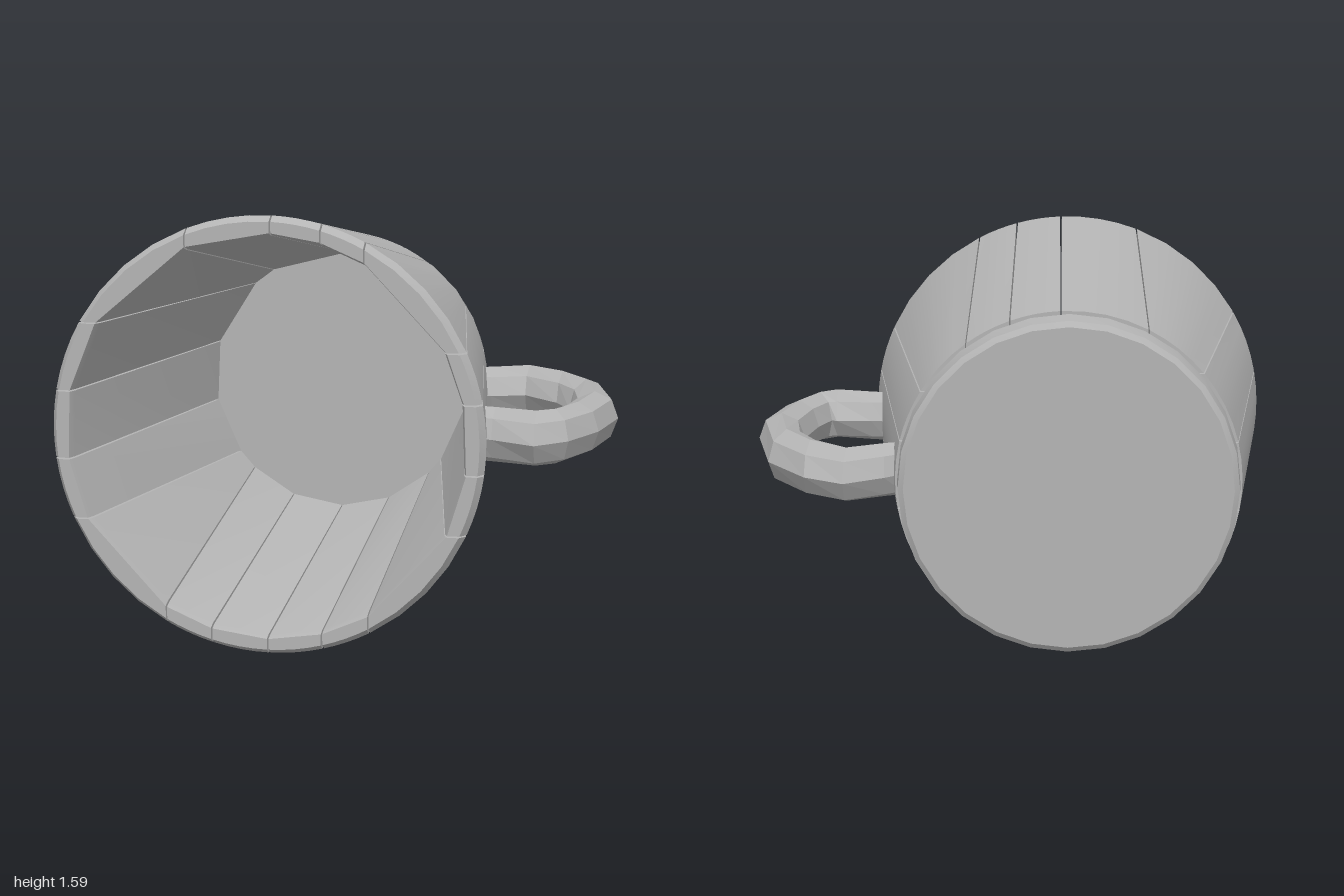
import * as THREE from 'three';
import { toCreasedNormals } from 'three/addons/utils/BufferGeometryUtils.js';

// Skin a row of rings (arrays of Vector3, counter-clockwise about the travel direction), with end caps
function loft(rings, crease) {
  const n = rings[0].length, index = [];
  for (let i = 0; i < rings.length - 1; i++) {
    for (let j = 0; j < n; j++) {
      const a = i * n + j, b = i * n + (j + 1) % n;
      index.push(a, b, b + n, a, b + n, a + n);
    }
  }
  const end = (rings.length - 1) * n;
  for (let j = 1; j < n - 1; j++) {
    index.push(0, j + 1, j);
    index.push(end, end + j, end + j + 1);
  }
  const geo = new THREE.BufferGeometry().setFromPoints(rings.flat());
  geo.setIndex(index);
  return toCreasedNormals(geo, crease);
}

// Joints between staves: side of the mug (right, top, left, bottom) and offset from the axis.
// Each joint is a plane of constant x or y.
const JOINTS = [
  ['R', -0.32], ['R', -0.10], ['R', 0.15], ['R', 0.33],
  ['T', 0.365], ['T', 0.21], ['T', 0.03], ['T', -0.28],
  ['L', 0.40], ['L', 0.15], ['L', -0.10], ['L', -0.32],
  ['B', -0.37], ['B', -0.20], ['B', 0.01], ['B', 0.21], ['B', 0.38],
];

function jointAngle([side, offset], r) {
  const t = offset / r;
  if (side === 'R') return Math.asin(t);
  if (side === 'T') return Math.acos(t);
  if (side === 'L') return Math.PI - Math.asin(t);
  return 2 * Math.PI - Math.acos(t);
}

// Cross-section of one stave: curved outside, flat inside
function staveRing(from, to, wrap, z, outer, inner) {
  const gap = 0.004, steps = 4, ring = [];
  const at = (r, a) => ring.push(new THREE.Vector3(r * Math.cos(a), r * Math.sin(a), z));
  const a0 = jointAngle(from, outer) + gap, a1 = jointAngle(to, outer) + wrap - gap;
  for (let k = 0; k <= steps; k++) at(outer, a0 + (a1 - a0) * k / steps);
  at(inner, jointAngle(to, inner) + wrap - gap);
  at(inner, jointAngle(from, inner) + gap);
  return ring;
}

export function createModel() {
  const model = new THREE.Group();
  model.name = 'mug';
  const grey = new THREE.MeshStandardMaterial({ color: 0xb4b4b4 });
  grey.name = 'grey';

  const body = new THREE.Group();
  body.name = 'body';
  body.position.set(-0.205, 0.797, 0);
  model.add(body);

  // Wall of tapered staves, bevelled at the rim
  JOINTS.forEach((from, i) => {
    const last = i === JOINTS.length - 1;
    const to = JOINTS[last ? 0 : i + 1], wrap = last ? 2 * Math.PI : 0;
    const rings = [[-0.585, 0.622, 0.535], [0.67, 0.795, 0.725], [0.7, 0.775, 0.735]]
      .map(([z, outer, inner]) => staveRing(from, to, wrap, z, outer, inner));
    const stave = new THREE.Mesh(loft(rings, 0.35), grey);
    stave.name = 'stave';
    body.add(stave);
  });

  // Solid bottom with its rounded hoop
  const profile = [[0, -0.7], [0.585, -0.7], [0.605, -0.685], [0.614, -0.6], [0.6, -0.575], [0, -0.575]]
    .map(([r, y]) => new THREE.Vector2(r, y));
  const bottom = new THREE.Mesh(toCreasedNormals(new THREE.LatheGeometry(profile, 28), 0.3), grey);
  bottom.name = 'bottom';
  bottom.rotation.x = Math.PI / 2;
  body.add(bottom);

  // Faceted handle: outer x, outer z, inner x, inner z of each section
  const sections = [
    [0.40, -0.50, 0.40, -0.31], [0.46, -0.55, 0.47, -0.31], [0.60, -0.64, 0.60, -0.36],
    [0.75, -0.55, 0.74, -0.22], [0.91, -0.33, 0.80, -0.10], [1.00, 0.05, 0.82, 0.05],
    [0.95, 0.32, 0.79, 0.24], [0.86, 0.52, 0.75, 0.35], [0.75, 0.63, 0.73, 0.34],
    [0.59, 0.55, 0.59, 0.34], [0.54, 0.53, 0.54, 0.34],
  ];
  const sides = 8;
  const handleRings = sections.map(([ox, oz, ix, iz]) => {
    const ring = [];
    for (let k = 0; k < sides; k++) {
      const a = k / sides * 2 * Math.PI, c = Math.cos(a) / 2;
      ring.push(new THREE.Vector3(
        (ox + ix) / 2 + (ox - ix) * c,
        0.8 + 0.1 * Math.sin(a),
        (oz + iz) / 2 + (oz - iz) * c));
    }
    return ring;
  });
  const handle = new THREE.Mesh(loft(handleRings, 0), grey);
  handle.name = 'handle';
  model.add(handle);

  return model;
}
